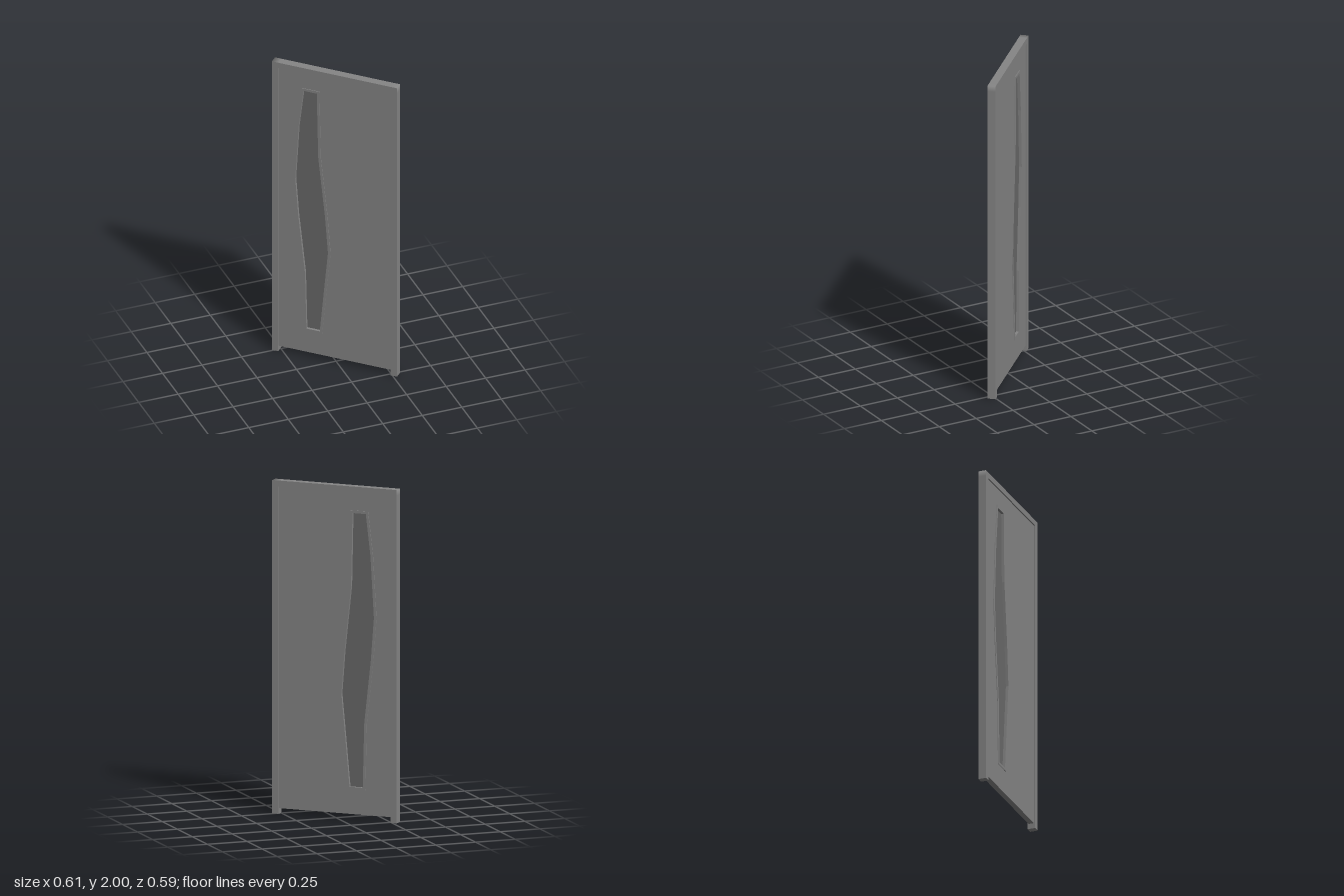
import * as THREE from 'three';

const W = 0.398;      // half width of the frame
const D = 0.0245;     // half depth of the frame
const INNER = 0.358;  // half width between the jambs
const HEAD = 1.965;   // underside of the head
const LEAF_Y = 0.033; // underside of the leaf

const paint = new THREE.MeshStandardMaterial({ color: 0x858585 });
const glass = new THREE.MeshStandardMaterial({ color: 0x696969 });

const toVectors = (pts) => pts.map(([x, y]) => new THREE.Vector2(x, y));

// Flat plate of the given half depth, centred on z = 0
function plate(name, outline, halfDepth, material, hole) {
  const shape = new THREE.Shape(outline);
  if (hole) shape.holes.push(new THREE.Path(hole));
  const geometry = new THREE.ExtrudeGeometry(shape, { depth: halfDepth * 2, bevelEnabled: false });
  geometry.translate(0, 0, -halfDepth);
  const mesh = new THREE.Mesh(geometry, material);
  mesh.name = name;
  return mesh;
}

// Grow a counter-clockwise outline by a constant margin with mitred corners
function grow(outline, margin) {
  const n = outline.length;
  return outline.map((p, i) => {
    const a = p.clone().sub(outline[(i + n - 1) % n]).normalize();
    const b = outline[(i + 1) % n].clone().sub(p).normalize();
    const na = new THREE.Vector2(a.y, -a.x);
    const nb = new THREE.Vector2(b.y, -b.x);
    return p.clone().addScaledVector(na.clone().add(nb), margin / (1 + na.dot(nb)));
  });
}

// Two jambs joined by a head, open at the floor, shaded softly round the top corners
function makeFrame() {
  const frame = plate('frame', toVectors([
    [-W, 0], [-INNER, 0], [-INNER, HEAD], [INNER, HEAD], [INNER, 0], [W, 0],
    [W, HEAD], [W, 2], [INNER, 2], [-INNER, 2], [-W, 2], [-W, HEAD],
  ]), D, paint);
  const { position, normal } = frame.geometry.attributes;
  for (let i = 0; i < position.count; i++) {
    const x = position.getX(i);
    const atCorner = Math.abs(x) > W - 0.001 && position.getY(i) > 1.999;
    if (atCorner && Math.abs(normal.getZ(i)) < 0.5) {
      normal.setXYZ(i, Math.sign(x) * Math.SQRT1_2, Math.SQRT1_2, 0);
    }
  }
  return frame;
}

export function createModel() {
  const model = new THREE.Group();
  model.name = 'door';

  const door = new THREE.Group();
  door.name = 'doorAssembly';
  door.rotation.y = -0.764;
  model.add(door);

  door.add(makeFrame());

  // S-shaped window: right edge upwards, then left edge downwards
  const opening = toVectors([
    [-0.095, 0.196], [-0.065, 0.52], [-0.043, 0.75], [-0.062, 1.0], [-0.105, 1.4], [-0.114, 1.84],
    [-0.199, 1.84], [-0.229, 1.59], [-0.251, 1.22], [-0.232, 0.97], [-0.189, 0.58], [-0.18, 0.196],
  ]);

  // Leaf, recessed in the frame
  door.add(plate('leaf', toVectors([
    [-INNER, LEAF_Y], [INNER, LEAF_Y], [INNER, HEAD], [-INNER, HEAD],
  ]), 0.0165, paint, opening));

  // Moulding around the window, standing proud of both leaf faces
  door.add(plate('windowMoulding', grow(opening, 0.016), 0.0205, paint, opening));

  // Window pane
  door.add(plate('windowPane', grow(opening, 0.004), 0.004, glass));

  return model;
}
